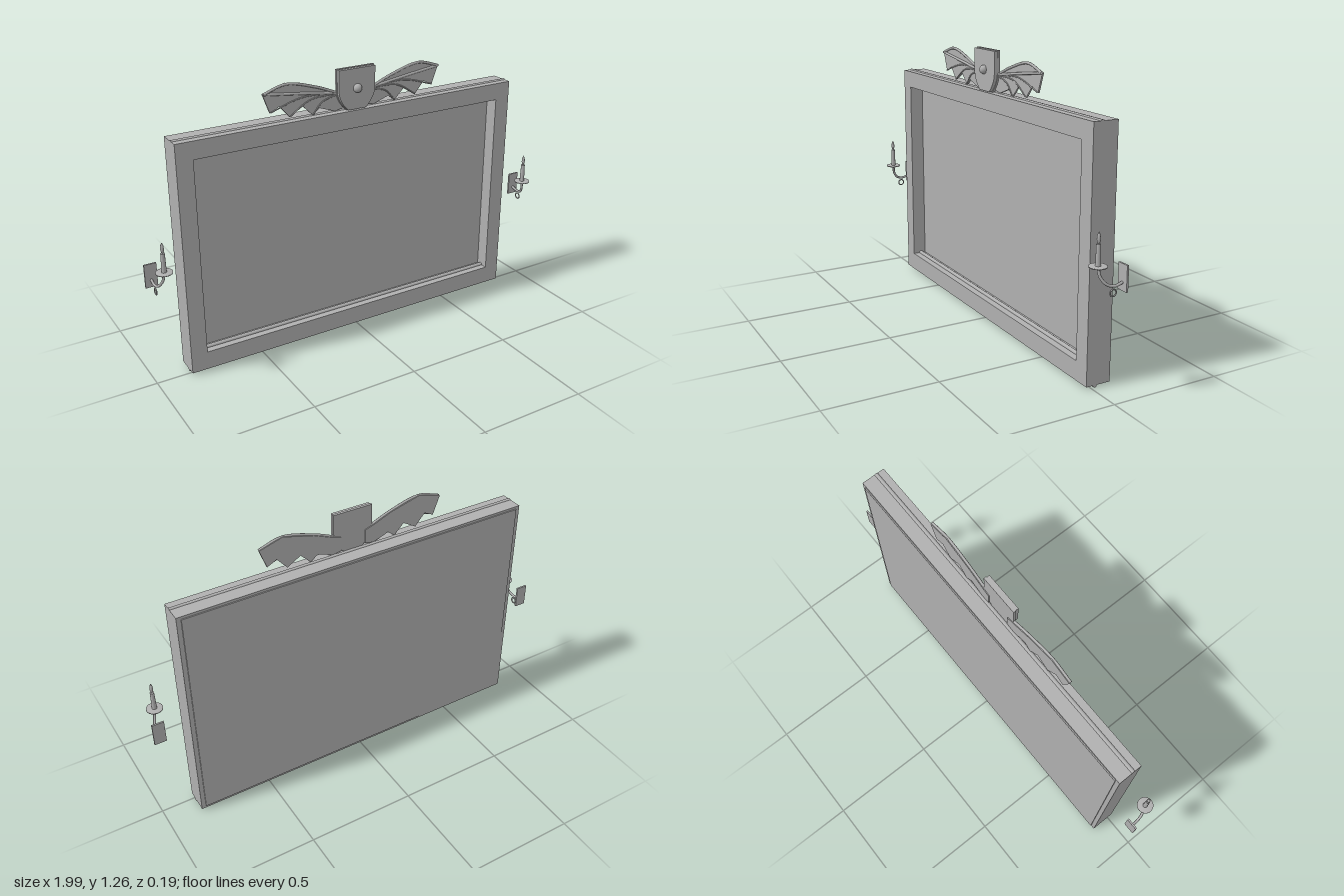
import * as THREE from 'three';

const grey = new THREE.MeshStandardMaterial({ color: 0xb0b0b0 });
grey.name = 'plain grey';

function add(parent, name, geometry, x = 0, y = 0, z = 0) {
  const mesh = new THREE.Mesh(geometry, grey);
  mesh.name = name;
  mesh.position.set(x, y, z);
  parent.add(mesh);
  return mesh;
}

const group = (parent, name) => {
  const g = new THREE.Group();
  g.name = name;
  parent.add(g);
  return g;
};

const vectors = (points) => points.map((p) => new THREE.Vector3(...p));

function tube(points, radius, segments = 20) {
  return new THREE.TubeGeometry(new THREE.CatmullRomCurve3(vectors(points)), segments, radius, 8);
}

function slab(shape, depth) {
  return new THREE.ExtrudeGeometry(shape, { depth, bevelEnabled: false, curveSegments: 10 });
}

// Rectangular frame with a recessed panel, a backing board and round beads
function buildFrame(root) {
  const frame = group(root, 'frame');
  const outline = new THREE.Shape([[-0.845, 0.01], [0.845, 0.01], [0.845, 1.075], [-0.845, 1.075]]
    .map((p) => new THREE.Vector2(...p)));
  outline.holes.push(new THREE.Path([[-0.77, 0.095], [-0.77, 0.995], [0.77, 0.995], [0.77, 0.095]]
    .map((p) => new THREE.Vector2(...p))));
  add(frame, 'frameBorder', slab(outline, 0.113), 0, 0, -0.09);
  add(frame, 'recessedPanel', new THREE.BoxGeometry(1.56, 0.92, 0.04), 0, 0.545, -0.062);
  add(frame, 'backBoard', new THREE.BoxGeometry(1.65, 1.04, 0.012), 0, 0.543, -0.089);
  const beads = [['topBead', 1.07, 1.69], ['bottomBead', 0.01, 1.69],
    ['innerTopBead', 0.995, 1.54], ['innerBottomBead', 0.096, 1.54]];
  for (const [name, y, length] of beads) {
    const bead = new THREE.CylinderGeometry(0.01, 0.01, length, 10);
    bead.rotateZ(Math.PI / 2);
    add(frame, name, bead, 0, y, -0.018);
  }
}

// Scalloped wing with raised ribs; side is +1 or -1
function buildWing(crest, side) {
  const wing = group(crest, side > 0 ? 'leftWing' : 'rightWing');
  const outline = [[0.06, 1.15], [0.1, 1.163], [0.19, 1.2], [0.333, 1.238], [0.442, 1.206],
    [0.41, 1.12], [0.365, 1.142], [0.318, 1.088], [0.255, 1.125], [0.208, 1.078],
    [0.175, 1.104], [0.1, 1.078], [0.06, 1.085]];
  const shape = new THREE.Shape(outline.map(([x, y]) => new THREE.Vector2(side * x, y)));
  add(wing, 'wingMembrane', slab(shape, 0.008), 0, 0, -0.015);
  const ribs = [
    [[0.09, 1.16], [0.19, 1.2], [0.333, 1.234], [0.44, 1.205]],
    [[0.09, 1.158], [0.26, 1.182], [0.44, 1.205]],
    [[0.09, 1.158], [0.26, 1.164], [0.409, 1.122]],
    [[0.09, 1.155], [0.22, 1.147], [0.317, 1.09]],
    [[0.09, 1.15], [0.16, 1.13], [0.207, 1.08]],
  ];
  ribs.forEach((rib, i) => add(wing, 'wingRib',
    tube(rib.map(([x, y]) => [side * x, y, -0.006]), i < 2 ? 0.006 : 0.003)));
}

// Shield with a raised face and a central boss, between two wings
function buildCrest(root) {
  const crest = group(root, 'crest');
  const shield = (inset) => {
    const w = 0.094 - inset;
    const s = new THREE.Shape();
    s.moveTo(-w, 1.263 - inset);
    s.lineTo(-w, 1.17);
    s.quadraticCurveTo(-w, 1.12, -0.045 + inset / 2, 1.075 + inset);
    s.lineTo(0.045 - inset / 2, 1.075 + inset);
    s.quadraticCurveTo(w, 1.12, w, 1.17);
    s.lineTo(w, 1.263 - inset);
    s.closePath();
    return s;
  };
  add(crest, 'shieldBack', slab(shield(0), 0.012), 0, 0, -0.011);
  add(crest, 'shieldFace', slab(shield(0.003), 0.015), 0, 0, 0.001);
  add(crest, 'shieldBoss', new THREE.SphereGeometry(0.02, 20, 14), 0, 1.172, 0.018);
  buildWing(crest, 1);
  buildWing(crest, -1);
}

// Candle sconce: wall plate, curved arm, drip dish, candle and hanging ring
function buildSconce(root, side) {
  const sconce = group(root, side > 0 ? 'leftSconce' : 'rightSconce');
  const x = side * 0.943;
  add(sconce, 'wallPlate', new THREE.BoxGeometry(0.054, 0.107, 0.008), side * 0.969, 0.5, -0.043);
  add(sconce, 'arm', tube([[side * 0.969, 0.48, -0.04], [side * 0.969, 0.471, -0.005],
    [side * 0.963, 0.48, 0.027], [side * 0.95, 0.51, 0.05], [x, 0.55, 0.056]], 0.006, 28));
  const dish = [[0, 0.54], [0.012, 0.542], [0.036, 0.548], [0.036, 0.553], [0, 0.553]];
  add(sconce, 'dripDish', new THREE.LatheGeometry(
    dish.map((p) => new THREE.Vector2(...p)), 24), x, 0, 0.056);
  add(sconce, 'candle', new THREE.CylinderGeometry(0.009, 0.011, 0.088, 16), x, 0.594, 0.056);
  const flame = [[0, 0.636], [0.005, 0.642], [0.008, 0.656], [0.006, 0.674], [0, 0.687]];
  add(sconce, 'flame', new THREE.LatheGeometry(
    flame.map((p) => new THREE.Vector2(...p)), 12), x, 0, 0.056);
  const ring = new THREE.TorusGeometry(0.014, 0.003, 8, 24);
  ring.rotateY(Math.PI / 2);
  add(sconce, 'hangingRing', ring, side * 0.969, 0.445, 0.002);
}

export function createModel() {
  const root = new THREE.Group();
  root.name = 'wallFrameWithSconces';
  buildFrame(root);
  buildCrest(root);
  buildSconce(root, 1);
  buildSconce(root, -1);
  return root;
}
